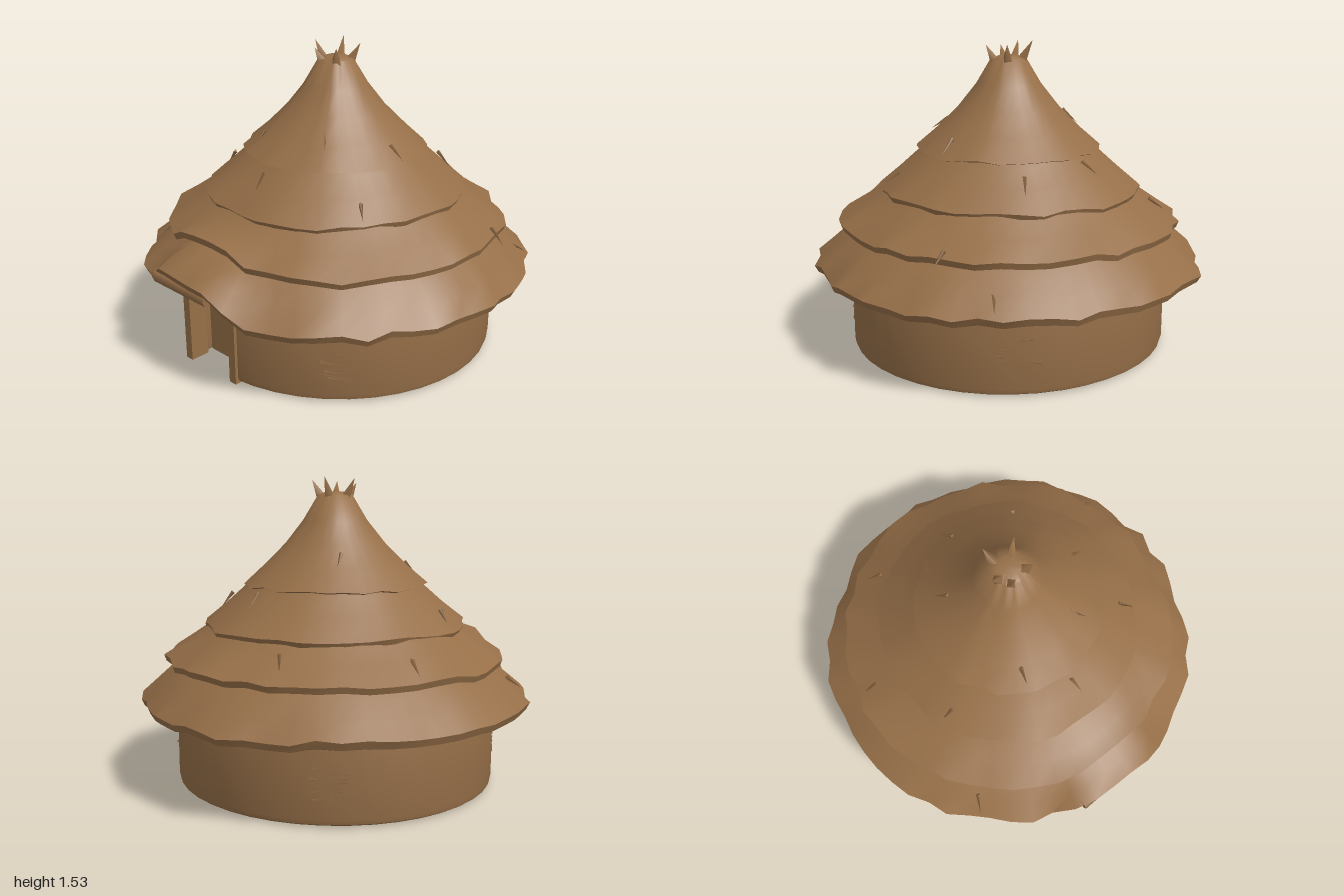
import * as THREE from 'three';
import { toCreasedNormals } from 'three/addons/utils/BufferGeometryUtils.js';

export function createModel() {
  const hut = new THREE.Group();
  const clay = new THREE.MeshStandardMaterial({ color: 0x966f48, side: THREE.DoubleSide });
  clay.name = 'earthy brown';
  let seed = 7;
  const rand = () => ((seed = (seed * 16807) % 2147483647) / 2147483647) * 2 - 1;

  function add(name, geometry, parent = hut) {
    const mesh = new THREE.Mesh(geometry, clay);
    mesh.name = name;
    parent.add(mesh);
    return mesh;
  }
  function addBox(name, size, pos, tilt = 0) {
    const mesh = add(name, new THREE.BoxGeometry(...size));
    mesh.position.set(...pos);
    mesh.rotation.z = tilt;
    return mesh;
  }

  // Round wall and floor, with a notch for the doorway
  const plan = new THREE.Shape();
  const from = -Math.PI / 2 + 0.085, sweep = Math.PI * 2 - 0.37;
  for (let i = 0; i <= 40; i++) {
    const a = from + (sweep * i) / 40;
    const x = Math.cos(a) * 0.815, y = Math.sin(a) * 0.795;
    if (i === 0) plan.moveTo(x, y); else plan.lineTo(x, y);
  }
  plan.lineTo(-0.23, -0.66);
  plan.lineTo(0.06, -0.66);
  plan.closePath();
  const wall = new THREE.ExtrudeGeometry(plan, {
    depth: 0.46, bevelThickness: 0.03, bevelSize: 0.02, bevelOffset: -0.02, bevelSegments: 2,
  });
  wall.rotateX(-Math.PI / 2).translate(0, 0.04, 0);
  add('wall', toCreasedNormals(wall, 0.7));

  // Doorway
  addBox('door', [0.27, 0.47, 0.02], [-0.085, 0.26, 0.672]);
  addBox('leftJamb', [0.045, 0.49, 0.1], [0.08, 0.25, 0.752]);
  addBox('rightJamb', [0.045, 0.49, 0.1], [-0.25, 0.25, 0.752]);
  addBox('doorHeader', [0.36, 0.08, 0.16], [-0.085, 0.51, 0.73]);
  const lintel = add('lintel', new THREE.CylinderGeometry(0.035, 0.03, 0.37, 7));
  lintel.position.set(-0.1, 0.495, 0.93);
  lintel.rotation.z = Math.PI / 2 - 0.03;

  // Thatch rises over the doorway
  const doorLift = (theta, r) => {
    const d = Math.abs(theta + 0.06);
    const rise = 1 - THREE.MathUtils.smoothstep(d, 0.2, 0.38);
    return 0.12 * rise * THREE.MathUtils.clamp((r - 0.7) / 0.24, 0, 1);
  };

  // One ring of thatch: [radius, height, raggedness] from top to underside
  function thatch(name, profile, sides) {
    const pos = [], index = [];
    const ragged = Array.from({ length: sides }, () => [rand(), rand()]);
    for (const [r, y, j] of profile) {
      for (let i = 0; i < sides; i++) {
        const theta = ((i / sides) * 2 - 1) * Math.PI;
        const rr = r + ragged[i][0] * j;
        pos.push(Math.sin(theta) * rr, y + ragged[i][1] * j * 0.7 + doorLift(theta, r), Math.cos(theta) * rr);
      }
    }
    for (let k = 0; k < profile.length - 1; k++) {
      for (let i = 0; i < sides; i++) {
        const a = k * sides + i, b = k * sides + ((i + 1) % sides), c = a + sides, d = b + sides;
        index.push(a, c, b, b, c, d);
      }
    }
    const geometry = new THREE.BufferGeometry();
    geometry.setAttribute('position', new THREE.Float32BufferAttribute(pos, 3));
    geometry.setIndex(index);
    add(name, toCreasedNormals(geometry, 0.75));
  }
  thatch('thatchTop', [[0, 1.45, 0], [0.045, 1.455, 0], [0.085, 1.44, 0.005], [0.16, 1.315, 0.004],
    [0.25, 1.2, 0.006], [0.36, 1.09, 0.006], [0.46, 1.0, 0.012], [0.43, 0.99, 0.01]], 32);
  thatch('thatchUpper', [[0.36, 1.08, 0], [0.45, 0.985, 0.005], [0.55, 0.895, 0.006],
    [0.655, 0.805, 0.014], [0.645, 0.78, 0.012], [0.58, 0.8, 0]], 40);
  thatch('thatchMiddle', [[0.55, 0.87, 0], [0.65, 0.785, 0.004], [0.75, 0.715, 0.008],
    [0.85, 0.645, 0.018], [0.84, 0.615, 0.016], [0.74, 0.62, 0]], 48);
  thatch('thatchEaves', [[0.72, 0.67, 0], [0.82, 0.585, 0.004], [0.9, 0.51, 0.01],
    [0.975, 0.435, 0.022], [0.96, 0.4, 0.018], [0.93, 0.393, 0.012], [0.76, 0.425, 0]], 56);

  // Leaning straw points around the peak
  const up = new THREE.Vector3(0, 1, 0);
  [[-0.5, 0.09], [0.75, 0.1], [2.2, 0.11], [3.6, 0.13], [5.0, 0.12]].forEach(([a, h]) => {
    const out = new THREE.Vector3(Math.sin(a), 0, Math.cos(a));
    const spike = add('peakSpike', new THREE.ConeGeometry(0.034, h, 4));
    spike.quaternion.setFromUnitVectors(up, out.clone().multiplyScalar(0.55).add(up).normalize());
    spike.position.copy(out).multiplyScalar(0.09).setY(1.425 + h * 0.38);
  });

  // Loose straws on the roof: [angle, radius, height]
  [[-0.5, 0.4, 1.065], [0.6, 0.35, 1.11], [0, 0.52, 0.93], [1.5, 0.42, 1.05], [2.4, 0.55, 0.91],
    [3.14, 0.5, 0.95], [-1.8, 0.78, 0.7], [-2.6, 0.75, 0.725], [-0.85, 0.91, 0.51], [0.95, 0.6, 0.86],
    [1.9, 0.85, 0.645], [2.2, 0.93, 0.49], [-1.2, 0.6, 0.86], [-2.2, 0.32, 1.14]].forEach(([a, r, y]) => {
    const straw = add('looseStraw', new THREE.ConeGeometry(0.012, 0.1, 3));
    const down = new THREE.Vector3(Math.sin(a + rand() * 0.5), -0.8, Math.cos(a + rand() * 0.5)).normalize();
    straw.quaternion.setFromUnitVectors(up, down);
    straw.position.set(Math.sin(a) * r, y, Math.cos(a) * r);
  });

  // Patches of bare twigs on the wall: [angle, height, size]
  [[-0.88, 0.22, 0.7], [-0.41, 0.13, 0.6], [0.8, 0.18, 1], [2.3, 0.22, 1], [-2.35, 0.2, 1]].forEach(([a, y, s]) => {
    const patch = new THREE.Group();
    patch.name = 'twigPatch';
    patch.position.set(Math.sin(a) * 0.807, y, Math.cos(a) * 0.787);
    patch.rotation.y = a;
    for (let i = 0; i < 9; i++) {
      const upright = i > 6;
      const twig = add('twig', new THREE.ConeGeometry(0.011, (upright ? 0.15 : 0.17) * s, 3), patch);
      twig.position.set(rand() * 0.05 * s, upright ? 0 : (i - 3) * 0.02 * s, 0.002);
      twig.rotation.z = (upright ? 0 : Math.PI / 2 * (i % 2 ? 1 : -1)) + rand() * 0.25;
    }
    hut.add(patch);
  });

  return hut;
}
